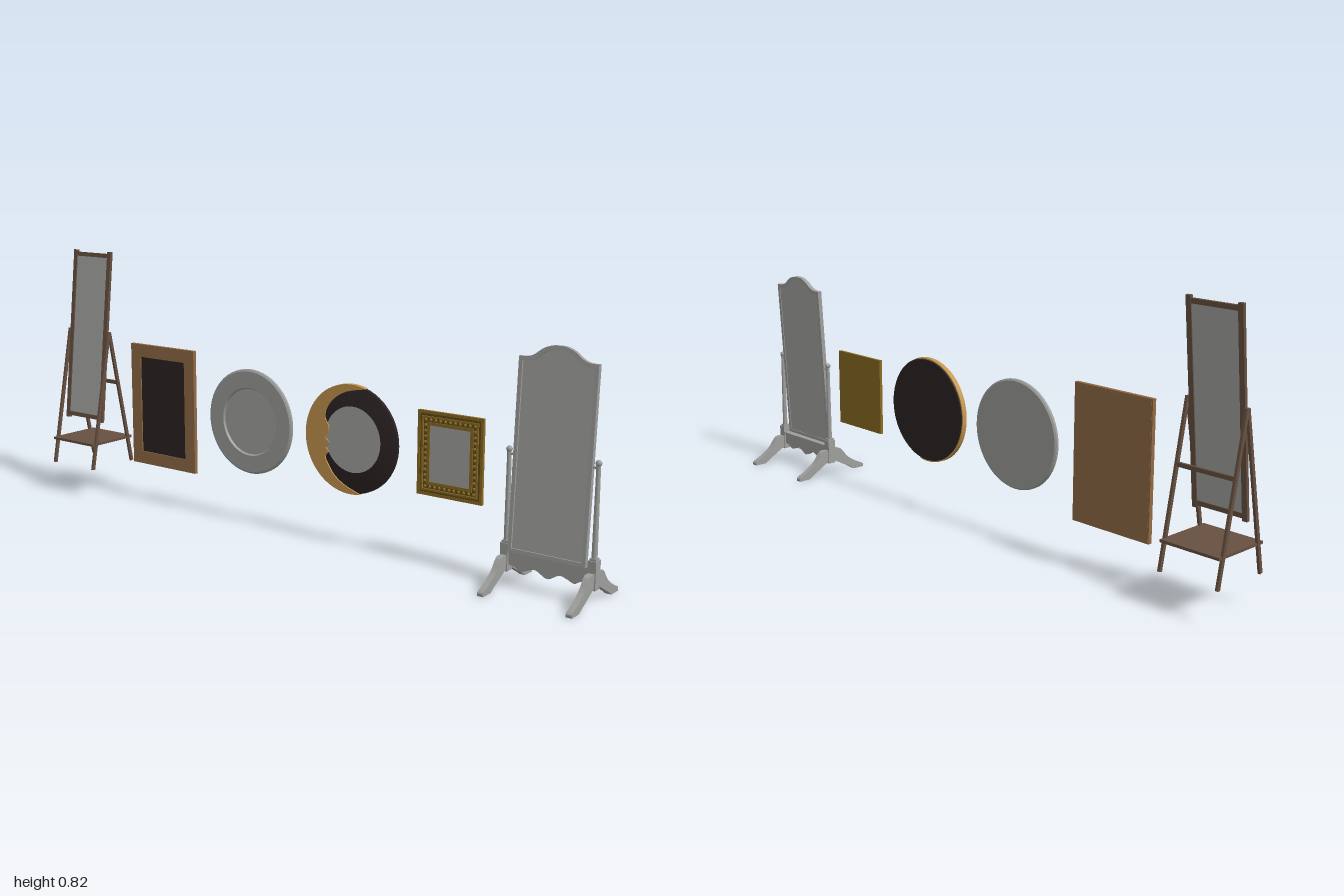
import * as THREE from 'three';
import { toCreasedNormals } from 'three/addons/utils/BufferGeometryUtils.js';

const mat = (name, color) => {
  const m = new THREE.MeshStandardMaterial({ color });
  m.name = name;
  return m;
};

export function createModel() {
  const grey = mat('greyPaint', 0x9e9e9c);
  const glass = mat('mirrorGlass', 0xa3a3a1);
  const darkWood = mat('darkWood', 0x665040);
  const wood = mat('wood', 0x926b45);
  const black = mat('blackLacquer', 0x2c2323);
  const tan = mat('tanWood', 0xc4964f);
  const gold = mat('gold', 0x8a6b22);
  const darkGold = mat('darkGold', 0x624c18);

  const root = new THREE.Group();
  root.name = 'mirrorCollection';
  const group = (name, parent = root) => {
    const g = new THREE.Group();
    g.name = name;
    parent.add(g);
    return g;
  };
  const add = (parent, name, geo, material, x = 0, y = 0, z = 0) => {
    const m = new THREE.Mesh(geo, material);
    m.name = name;
    m.position.set(x, y, z);
    parent.add(m);
    return m;
  };
  const box = (p, name, material, w, h, d, x, y, z) =>
    add(p, name, new THREE.BoxGeometry(w, h, d), material, x, y, z);
  // Square bar in the yz plane between two points
  const bar = (p, name, material, x, y0, z0, y1, z1, w, d) => {
    const m = box(p, name, material, w, Math.hypot(y1 - y0, z1 - z0), d, x, (y0 + y1) / 2, (z0 + z1) / 2);
    m.rotation.x = Math.atan2(z1 - z0, y1 - y0);
    return m;
  };
  const shapeOf = pts => new THREE.Shape(pts.map(([x, y]) => new THREE.Vector2(x, y)));
  const extrude = (shape, z0, z1) => toCreasedNormals(
    new THREE.ExtrudeGeometry(shape, { depth: z1 - z0, bevelEnabled: false, curveSegments: 32 })
      .translate(0, 0, z0), 0.6);
  const rect = (w, h) => [[-w / 2, -h / 2], [w / 2, -h / 2], [w / 2, h / 2], [-w / 2, h / 2]];
  // Rectangular frame of border t
  const frame = (w, h, t, z0, z1) => {
    const s = shapeOf(rect(w, h));
    s.holes.push(shapeOf(rect(w - 2 * t, h - 2 * t)));
    return extrude(s, z0, z1);
  };
  // Points of a smooth curve
  const smooth = (pts, n = 40) => new THREE.SplineCurve(pts.map(([x, y]) => new THREE.Vector2(x, y)))
    .getPoints(n).map(v => [v.x, v.y]);
  // Round part turned about the z axis, profile is [radius, z] from back to front
  const turned = pts => toCreasedNormals(
    new THREE.LatheGeometry(pts.map(([r, z]) => new THREE.Vector2(r, z)), 64), 0.5).rotateX(Math.PI / 2);

  // Easel mirror with a shelf
  const easel = group('easelMirror');
  easel.position.x = -0.903;
  const panel = group('tiltedPanel', easel);
  panel.position.set(0, 0.537, 0.003);
  panel.rotation.x = -0.108;
  for (const s of [-1, 1]) {
    box(panel, 'panelPost', darkWood, 0.016, 0.576, 0.01, s * 0.08, 0, 0);
    box(panel, 'panelRail', darkWood, 0.148, 0.014, 0.008, 0, s * 0.274, 0);
    for (const f of [-1, 1])
      bar(easel, f > 0 ? 'frontLeg' : 'backLeg', darkWood, s * 0.093, 0.098, f * 0.091, 0.556, f * 0.001, 0.008, 0.011);
    box(easel, 'pivot', darkWood, 0.02, 0.008, 0.008, s * 0.085, 0.54, 0.002);
  }
  box(panel, 'glass', glass, 0.146, 0.536, 0.004, 0, 0, 0);
  box(easel, 'shelf', darkWood, 0.19, 0.008, 0.186, 0, 0.183, 0);
  box(easel, 'backCrossbar', darkWood, 0.186, 0.012, 0.008, 0, 0.38, -0.036);

  // Rectangular wooden frame with a dark inset
  const wall = group('rectangularFrame');
  wall.position.set(-0.57, 0.328, 0);
  add(wall, 'frameBorder', frame(0.278, 0.404, 0.042, -0.016, -0.003), wood);
  box(wall, 'frameBack', wood, 0.27, 0.396, 0.004, 0, 0, -0.0145);
  box(wall, 'darkInset', black, 0.194, 0.32, 0.006, 0, 0, -0.0095);

  // Round grey mirror
  const round = group('roundMirror');
  round.position.set(-0.2, 0.33, 0);
  add(round, 'roundFrame', turned([[0, -0.02], [0.161, -0.02], [0.166, -0.016], [0.166, -0.009],
    [0.16, -0.005], [0.108, -0.005], [0.104, -0.011], [0, -0.011]]), grey);
  add(round, 'roundGlass', new THREE.CircleGeometry(0.103, 64), glass, 0, 0, -0.0105);

  // Crescent moon mirror, inner edge is a face in profile
  const moon = group('moonMirror');
  moon.position.set(0.192, 0.33, 0);
  add(moon, 'darkDisc', turned([[0, -0.019], [0.16, -0.019], [0.164, -0.015], [0.164, -0.006],
    [0.161, -0.005], [0, -0.005]]), black);
  add(moon, 'moonGlass', new THREE.CircleGeometry(0.1, 64), glass, 0.005, 0, -0.0045);
  const outer = [];
  for (let i = 0; i <= 40; i++) {
    const a = 1.25 + (i / 40) * (2 * Math.PI - 2.6);
    outer.push([0.166 * Math.cos(a), 0.166 * Math.sin(a)]);
  }
  const profile = smooth([outer[40], [-0.02, -0.142], [-0.058, -0.118], [-0.08, -0.09], [-0.093, -0.065],
    [-0.082, -0.048], [-0.09, -0.034], [-0.078, -0.02], [-0.092, -0.006], [-0.083, 0.012], [-0.08, 0.03],
    [-0.094, 0.055], [-0.088, 0.085], [-0.06, 0.118], [-0.015, 0.143], outer[0]], 70);
  add(moon, 'crescent', extrude(shapeOf([...outer, ...profile.slice(1, -1)]), -0.017, -0.001), tan);

  // Small gilded frame with stepped mouldings and beads
  const gilt = group('gildedFrame');
  gilt.position.set(0.53, 0.328, 0);
  box(gilt, 'giltBack', gold, 0.214, 0.246, 0.005, 0, 0, -0.0145);
  add(gilt, 'outerMoulding', frame(0.214, 0.246, 0.008, -0.013, -0.007), gold);
  add(gilt, 'channel', frame(0.2, 0.232, 0.026, -0.013, -0.009), darkGold);
  add(gilt, 'middleMoulding', frame(0.184, 0.216, 0.005, -0.012, -0.004), gold);
  add(gilt, 'innerMoulding', frame(0.15, 0.182, 0.009, -0.013, -0.006), gold);
  box(gilt, 'giltGlass', glass, 0.134, 0.166, 0.003, 0, 0, -0.0105);
  const beadGeo = new THREE.SphereGeometry(0.005, 8, 6).scale(1, 1, 0.8);
  for (const s of [-1, 1]) {
    for (let i = 0; i < 11; i++)
      add(gilt, 'bead', beadGeo, gold, -0.08 + i * 0.016, s * 0.097, -0.008);
    for (let i = 1; i < 12; i++)
      add(gilt, 'bead', beadGeo, gold, s * 0.081, -0.097 + i * 0.0162, -0.008);
  }

  // Standing swing mirror
  const cheval = group('swingMirror');
  cheval.position.x = 0.854;
  const swing = group('swingPanel', cheval);
  swing.position.set(0, 0.388, -0.001);
  swing.rotation.x = -0.056;
  // Arched outline inset by t
  const arched = t => {
    const k = 0.116 - t;
    const half = [[1, 0.25], [0.78, 0.251], [0.6, 0.259], [0.4, 0.276], [0.18, 0.286]];
    const top = [...half, [0, 0.287], ...half.map(([x, y]) => [-x, y]).reverse()]
      .map(([x, y]) => [x * k, y - t]);
    return shapeOf([[-k, -0.288 + t], [k, -0.288 + t], ...smooth(top)]);
  };
  const border = arched(0);
  border.holes.push(arched(0.011));
  add(swing, 'archedFrame', extrude(border, -0.007, 0.007), grey);
  add(swing, 'archedGlass', extrude(arched(0.01), -0.005, 0.002), glass);

  // Foot outline, z outwards and y up
  const foot = shapeOf([[0.01, 0.086], ...smooth([[0.028, 0.087], [0.038, 0.085], [0.05, 0.073],
    [0.068, 0.051], [0.1, 0.029], [0.129, 0.015], [0.137, 0.008], [0.136, 0]], 24),
  [0.096, 0], [0.079, 0.011], [0.01, 0.049]]);
  const footGeo = extrude(foot, -0.009, 0.009).rotateY(-Math.PI / 2);
  for (const s of [-1, 1]) {
    const side = group(s > 0 ? 'leftStand' : 'rightStand', cheval);
    side.position.x = s * 0.131;
    add(side, 'frontFoot', footGeo, grey);
    add(side, 'backFoot', footGeo, grey).rotation.y = Math.PI;
    box(side, 'postBlock', grey, 0.024, 0.08, 0.028, 0, 0.08, 0);
    box(side, 'postCollar', grey, 0.018, 0.006, 0.022, 0, 0.123, 0);
    add(side, 'post', new THREE.CylinderGeometry(0.006, 0.008, 0.262, 16), grey, 0, 0.255, 0);
    add(side, 'finial', new THREE.SphereGeometry(0.009, 16, 10), grey, 0, 0.382, 0);
    const pin = add(side, 'pivotPin', new THREE.CylinderGeometry(0.004, 0.004, 0.026, 12), grey, -s * 0.008, 0.37, 0);
    pin.rotation.z = Math.PI / 2;
  }
  // Scalloped apron between the stands
  const wave = smooth([[-0.122, 0.06], [-0.1, 0.056], [-0.08, 0.046], [-0.06, 0.053], [-0.035, 0.059], [0, 0.042],
    [0.035, 0.059], [0.06, 0.053], [0.08, 0.046], [0.1, 0.056], [0.122, 0.06]], 60);
  add(cheval, 'apron', extrude(shapeOf([...wave, [0.122, 0.098], [-0.122, 0.098]]), -0.008, 0.008), grey);
  box(cheval, 'apronLedge', grey, 0.244, 0.005, 0.026, 0, 0.098, 0);

  return root;
}
